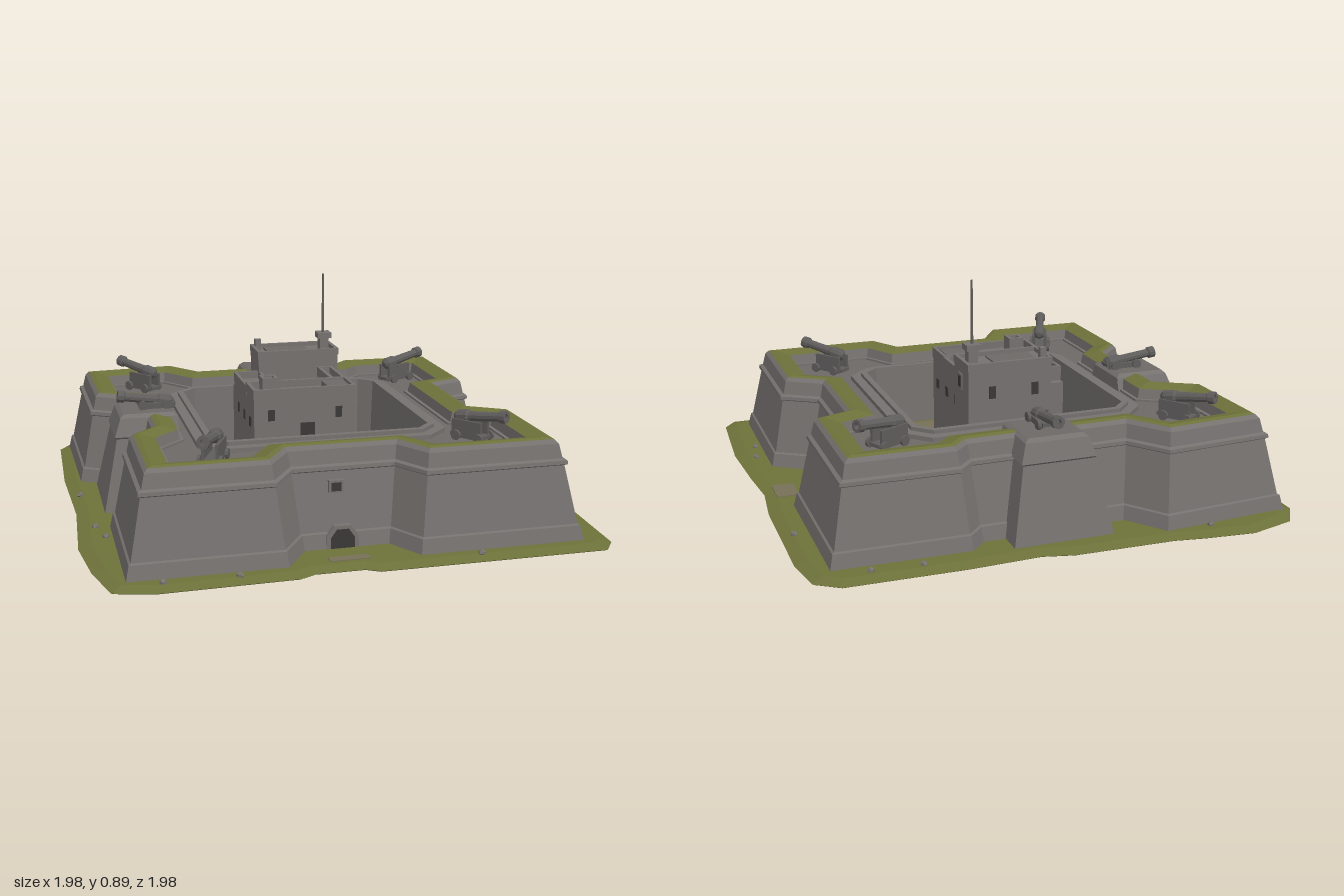
import * as THREE from 'three';

export function createModel() {
  const fort = new THREE.Group();
  fort.name = 'bastionFort';
  const mat = (name, color) => {
    const m = new THREE.MeshStandardMaterial({ color, flatShading: true });
    m.name = name;
    return m;
  };
  const stone = mat('stone', 0x75716f);
  const paving = mat('paving', 0x6c6967);
  const gunMetal = mat('gunMetal', 0x5f5d5c);
  const grass = mat('grass', 0x6d7139);
  const earth = mat('earth', 0x777058);
  const dark = mat('darkOpening', 0x3a3836);

  const add = (name, geo, m, parent = fort) => {
    const mesh = new THREE.Mesh(geo, m);
    mesh.name = name;
    parent.add(mesh);
    return mesh;
  };
  const box = (name, m, x0, x1, y0, y1, z0, z1) =>
    add(name, new THREE.BoxGeometry(x1 - x0, y1 - y0, z1 - z0), m)
      .position.set((x0 + x1) / 2, (y0 + y1) / 2, (z0 + z1) / 2);

  // Skin between closed rings of [x, y, z], flat shaded
  const loft = (rings) => {
    const pos = [];
    for (let k = 0; k + 1 < rings.length; k++) {
      const lo = rings[k], hi = rings[k + 1];
      lo.forEach((a, i) => {
        const j = (i + 1) % lo.length;
        pos.push(...a, ...hi[i], ...lo[j], ...lo[j], ...hi[i], ...hi[j]);
      });
    }
    const g = new THREE.BufferGeometry();
    g.setAttribute('position', new THREE.Float32BufferAttribute(pos, 3));
    g.computeVertexNormals();
    return g;
  };
  // Flat polygon in the xz plane, facing up or down
  const cap = (pts, y, hole = null, up = true) => {
    const s = up ? -1 : 1;
    const vec = (p) => p.map(([x, z]) => new THREE.Vector2(x, s * z));
    const shape = new THREE.Shape(vec(pts));
    if (hole) shape.holes.push(new THREE.Path(vec(hole)));
    return new THREE.ShapeGeometry(shape).rotateX(s * Math.PI / 2).translate(0, y, 0);
  };
  const at = (pts, y) => pts.map(([x, z]) => [x, y, z]);
  // Mitred outward offset of an outline
  const grow = (pts, d) => pts.map((p, i) => {
    const n = pts.length, a = pts[(i + n - 1) % n], b = pts[(i + 1) % n];
    const normal = (u, v) => {
      const l = Math.hypot(v[0] - u[0], v[1] - u[1]);
      return [(v[1] - u[1]) / l, (u[0] - v[0]) / l];
    };
    const m = normal(a, p), q = normal(p, b), k = d / (1 + m[0] * q[0] + m[1] * q[1]);
    return [p[0] + (m[0] + q[0]) * k, p[1] + (m[1] + q[1]) * k];
  });
  const profile = (pts, steps) => loft(steps.map(([d, y]) => at(grow(pts, d), y)));

  // Ragged grass ground
  const ground = [[-.97, -.84], [-.9, -.95], [-.72, -1], [-.52, -.98], [-.4, -.96], [0, -.95], [.12, -.92],
    [.4, -.93], [.86, -.92], [.95, -.86], [.98, -.7], [.98, -.2], [.96, 0], [.98, .2], [1, .5], [.98, .9],
    [.93, .97], [.6, .97], [.05, .97], [0, .94], [-.18, .94], [-.24, .97], [-.75, .98], [-.9, .94], [-.95, .75],
    [-.98, .5], [-.96, .1], [-.98, -.35]];
  add('groundEdge', profile(ground, [[-.01, 0.002], [0, .008], [-.05, .02]]), grass);
  add('groundTop', cap(grow(ground, -.05), .02), grass);
  add('groundUnderside', cap(grow(ground, -.01), .002, null, false), grass);

  // Rampart: outline of the wall top
  const wall = [[-.84, -.78], [-.44, -.81], [-.33, -.66], [.32, -.67], [.38, -.73], [.79, -.72],
    [.79, -.23], [.65, -.18], [.65, .24], [.79, .33], [.79, .8], [.28, .8], [.2, .66],
    [-.22, .66], [-.31, .8], [-.76, .8], [-.76, .34], [-.66, .24], [-.66, -.24], [-.83, -.34]];
  add('foundation', cap(grow(wall, .08), 0, null, false), stone);
  add('rampartWall', profile(wall, [[.085, .015], [.072, .075], [.064, .08], [.02, .3], [.03, .306],
    [.028, .32], [.014, .326], [.002, .38], [-.012, .395]]), stone);
  add('parapetGrass', profile(wall, [[-.012, .395], [-.03, .4], [-.092, .385]]), grass);
  add('parapetInside', profile(wall, [[-.092, .385], [-.1, .345], [-.115, .345], [-.115, .335]]), stone);

  // Walkway, inner lip and sunken yard
  const yard = [[-.47, -.39], [-.4, -.46], [.38, -.46], [.45, -.39], [.45, .38], [.38, .45], [-.4, .45], [-.47, .38]];
  add('walkway', cap(grow(wall, -.11), .337, grow(yard, .03)), paving);
  add('innerLip', profile(yard, [[.04, .335], [.04, .355], [0, .355], [0, .37], [-.025, .37], [-.035, .1]]), stone);
  add('yardFloor', cap(yard, .1), earth);
  add('yardVerge', cap(grow(yard, -.03), .103, grow(yard, -.05)), grass);
  box('keepVerge', grass, -.28, .24, .1, .106, -.37, .25);

  // Sloped gun piers on the back and on the right side
  const pier = (name, low, high) => {
    const rect = ([x0, x1, z0, z1]) => [[x0, z0], [x1, z0], [x1, z1], [x0, z1]];
    const t = rect(high), mid = low.map((v, i) => v + (high[i] - v) * .78);
    add(name, loft([at(rect(low), .015), at(rect(mid), .31), at(grow(rect(mid), .008), .318),
      at(t, .39), at(grow(t, -.015), .404)]), stone);
    add(name + 'Deck', cap(grow(t, -.015), .404), paving);
  };
  pier('backPier', [-.2, .2, -.85, -.56], [-.12, .13, -.77, -.54]);
  pier('rightPier', [-.85, -.56, -.24, .15], [-.77, -.54, -.14, .09]);

  // Arched doors and square ports in the front and left walls
  const arch = (w, h) => {
    const s = new THREE.Shape();
    s.moveTo(-w, 0).lineTo(w, 0).lineTo(w, h * .55).lineTo(w * .5, h).lineTo(-w * .5, h).lineTo(-w, h * .55);
    return s;
  };
  const opening = (name, x, z, turn) => {
    const g = new THREE.Group();
    g.name = name;
    g.position.set(x, 0, z);
    g.rotation.y = turn;
    const frame = new THREE.ExtrudeGeometry(arch(.062, .088), { depth: .03, bevelEnabled: false });
    add('doorFrame', frame, stone, g).position.set(0, .018, .055);
    add('doorway', new THREE.ShapeGeometry(arch(.046, .074)), dark, g).position.set(0, .02, .087);
    add('portFrame', new THREE.BoxGeometry(.056, .048, .03), stone, g).position.set(-.015, .246, .03);
    add('port', new THREE.BoxGeometry(.038, .032, .006), dark, g).position.set(-.015, .246, .046);
    fort.add(g);
  };
  opening('frontGate', -.03, .66, 0);
  opening('leftGate', .65, 0, Math.PI / 2);

  // Keep: two blocks joined by wings around a small well
  box('keepFrontBlock', stone, -.25, .17, .1, .475, .06, .21);
  box('keepRightWing', stone, -.25, -.14, .1, .46, -.2, .06);
  box('keepLeftWing', stone, .11, .17, .1, .47, -.2, .06);
  box('keepTower', stone, -.15, .2, .1, .56, -.34, -.17);
  box('keepRearRightBlock', stone, -.25, -.15, .1, .43, -.23, -.17);
  box('wellFloor', earth, -.14, .11, .1, .14, -.17, .06);

  // Low parapets round the roofs
  const rim = (name, x0, x1, z0, z1, y0, y1, t = .014) => {
    box(name + 'Back', stone, x0, x1, y0, y1, z0, z0 + t);
    box(name + 'Front', stone, x0, x1, y0, y1, z1 - t, z1);
    box(name + 'Right', stone, x0, x0 + t, y0, y1, z0 + t, z1 - t);
    box(name + 'Left', stone, x1 - t, x1, y0, y1, z0 + t, z1 - t);
  };
  rim('frontRoofRim', -.253, .173, .057, .213, .465, .505);
  rim('rightRoofRim', -.253, -.137, -.2, .06, .45, .49);
  rim('leftRoofRim', .107, .173, -.17, .06, .46, .5);
  rim('towerRim', -.153, .203, -.343, -.167, .55, .577);
  rim('roofHatch', -.205, -.14, .1, .165, .47, .54);
  box('roofHatchHole', dark, -.191, -.154, .47, .53, .114, .151);
  box('roofSlab', paving, .06, .15, .47, .5, .085, .18);
  box('chimney', stone, -.14, -.115, .55, .608, -.31, -.285);
  box('towerRoofSlab', paving, -.1, .08, .555, .567, -.31, -.2);

  // Watch post and flagpole
  box('watchPost', stone, .135, .175, .55, .612, -.268, -.228);
  box('watchPostCap', stone, .125, .185, .612, .636, -.278, -.218);
  add('flagpole', new THREE.CylinderGeometry(.004, .006, .26, 6), gunMetal).position.set(.153, .762, -.247);

  // Steps up to the keep
  for (let i = 0; i < 6; i++) box('keepStep', paving, -.08, .02, .1, .13 + i * .025, .21, .325 - i * .018);
  box('keepDoor', dark, -.06, 0, .255, .36, .21, .214);

  // Keep windows
  for (const x of [-.18, .1]) for (const y of [.25, .4]) box('frontWindow', dark, x - .014, x + .014, y - .025, y + .02, .21, .214);
  for (const z of [-.1, .02, .14]) {
    box('rightWindow', dark, -.254, -.25, .34, .38, z - .014, z + .014);
    box('leftWindow', dark, .17, .174, .34, .38, z - .014, z + .014);
  }
  box('towerWindowFrame', stone, .2, .205, .455, .52, -.27, -.23);
  box('towerWindow', dark, .2, .208, .465, .51, -.262, -.238);
  for (const x of [-.08, .1]) box('towerBackWindow', dark, x - .014, x + .014, .43, .48, -.344, -.34);

  // Cannons on wheeled carriages, muzzles raised outward
  const cannon = (x, z, angle, floor) => {
    const g = new THREE.Group();
    g.name = 'cannon';
    g.position.set(x, 0, z);
    g.rotation.y = angle;
    const barrel = new THREE.LatheGeometry([[0, -.1], [.012, -.1], [.026, -.085], [.027, -.04], [.02, -.03],
      [.018, .1], [.025, .105], [.025, .13], [.012, .13], [.011, .11], [0, .11]]
      .map((p) => new THREE.Vector2(...p)), 10);
    const b = add('barrel', barrel, gunMetal, g);
    b.rotation.x = Math.PI / 2 - .14;
    b.position.y = .438;
    const mid = (floor + .43) / 2, h = .43 - floor;
    for (const s of [-1, 1]) {
      add('carriageCheek', new THREE.BoxGeometry(.012, h * .8, .13), gunMetal, g).position.set(s * .027, mid, -.03);
      for (const w of [-.07, .03]) {
        const wheel = add('wheel', new THREE.CylinderGeometry(.02, .02, .012, 10), gunMetal, g);
        wheel.rotation.z = Math.PI / 2;
        wheel.position.set(s * .041, floor + .02, w);
      }
    }
    add('carriageBed', new THREE.BoxGeometry(.054, .014, .15), gunMetal, g).position.set(0, floor + .02, -.03);
    fort.add(g);
  };
  for (const [x, z, dx, dz, floor] of [[-.61, -.6, -.6, -.8, .34], [0, -.64, 0, -1, .4], [.59, -.5, .9, -.45, .34],
    [.56, .56, .6, .8, .34], [-.49, .61, -.4, .92, .34], [-.64, -.02, -1, 0, .4]])
    cannon(x, z, Math.atan2(dx, dz), floor);

  // Loose stones and a worn patch on the ground
  for (const [x, z] of [[-.58, -.9], [.55, -.86], [.74, -.85], [.93, -.45], [.92, .42], [.9, .55], [.45, .92],
    [-.45, .92], [-.72, .92], [-.9, .3], [-.87, .42], [-.93, -.1]]) {
    const rock = add('looseStone', new THREE.DodecahedronGeometry(.014, 0), stone);
    rock.position.set(x, .022, z);
    rock.rotation.y = x * 9;
  }
  box('gatePath', earth, -.11, .04, .019, .023, .83, .87);
  box('sidePath', earth, .83, .92, .019, .023, -.07, .06);
  return fort;
}
